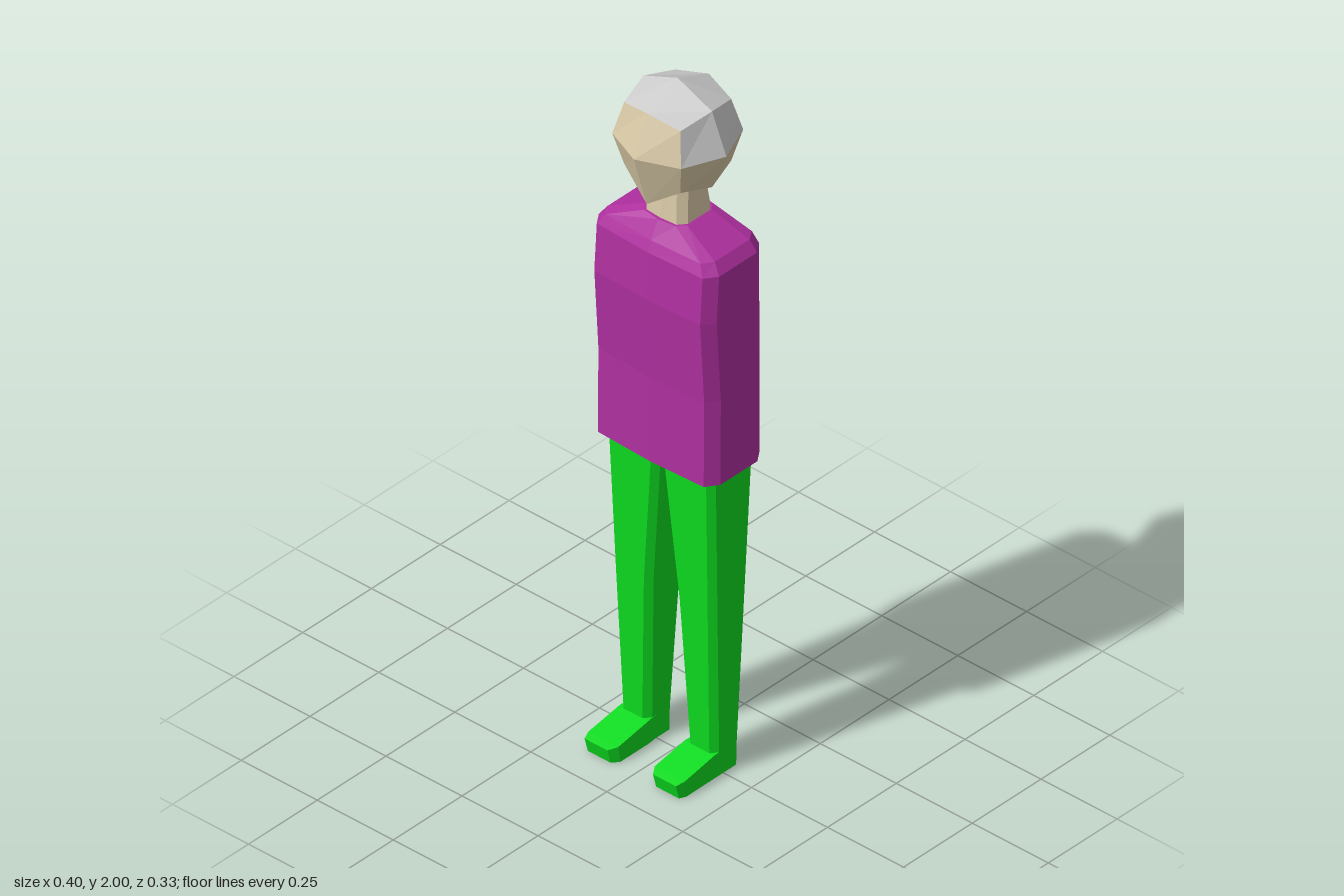
import * as THREE from 'three';

const SKIN = 0xd8c8a6, HAIR = 0xc4c4c4, SHIRT = 0xb030a0, GREEN = 0x0cdc20;

function flatMesh(name, triangles, color) {
  const geo = new THREE.BufferGeometry().setFromPoints(triangles);
  geo.computeVertexNormals();
  const mat = new THREE.MeshStandardMaterial({ color, flatShading: true });
  const mesh = new THREE.Mesh(geo, mat);
  mesh.name = name;
  return mesh;
}

// Skin a stack of equal-length rings and cap both ends.
function loft(name, rings, color) {
  const tris = [], n = rings[0].length;
  const centre = (r) => r.reduce((s, p) => s.add(p), new THREE.Vector3()).divideScalar(n);
  const first = rings[0], last = rings[rings.length - 1];
  const c0 = centre(first), c1 = centre(last);
  for (let i = 0; i < n; i++) {
    const j = (i + 1) % n;
    for (let k = 0; k + 1 < rings.length; k++) {
      const a = rings[k], b = rings[k + 1];
      tris.push(a[i], a[j], b[j], a[i], b[j], b[i]);
    }
    tris.push(c0, first[j], first[i], c1, last[i], last[j]);
  }
  return flatMesh(name, tris, color);
}

// Horizontal rectangle with bevelled corners and slightly bowed front and back.
function bevelRing(y, x0, x1, back, front, bx, bz, bow = 0) {
  const m = (x0 + x1) / 2;
  return [
    [m, front], [x1 - bx, front - bow], [x1, front - bow - bz],
    [x1, back + bow + bz], [x1 - bx, back + bow], [m, back],
    [x0 + bx, back + bow], [x0, back + bow + bz],
    [x0, front - bow - bz], [x0 + bx, front - bow],
  ].map(([x, z]) => new THREE.Vector3(x, y, z));
}

// Head: a cube with 2 x 2 quads per side pushed out to a sphere, chin lowered.
function makeHead() {
  const head = new THREE.Group();
  head.name = 'head';
  const pos = new THREE.BoxGeometry(2, 2, 2, 2, 2, 2).toNonIndexed().getAttribute('position');
  const skin = [], hair = [];
  for (let i = 0; i < pos.count; i += 3) {
    const raw = [0, 1, 2].map((k) => new THREE.Vector3().fromBufferAttribute(pos, i + k));
    const mid = raw[0].clone().add(raw[1]).add(raw[2]).divideScalar(3);
    const isFront = raw.every((p) => p.z > 0.99);
    const tri = raw.map((p) => {
      const q = p.clone().normalize().multiplyScalar(0.16);
      if (p.y < -0.5 && Math.abs(p.x) < 0.5) {
        if (p.z > 0.5) q.y = -0.158;
        else if (p.z > -0.5) q.y = -0.142;
      }
      return q.add(new THREE.Vector3(0, 1.84, -0.008));
    });
    (mid.y < 0 || isFront ? skin : hair).push(...tri);
  }
  head.add(flatMesh('face', skin, SKIN), flatMesh('hair', hair, HAIR));
  return head;
}

// One leg with its foot; side is +1 for left, -1 for right.
function makeLeg(side) {
  const group = new THREE.Group();
  group.name = side > 0 ? 'leftLeg' : 'rightLeg';
  const mirror = (ring) => {
    if (side > 0) return ring;
    ring.forEach((p) => { p.x *= -1; });
    return ring.reverse();
  };
  const legRings = [
    // y, inner x, outer x, back, front
    [0, 0.063, 0.157, -0.065, 0.035],
    [0.07, 0.063, 0.157, -0.067, 0.033],
    [0.5, 0.043, 0.167, -0.083, 0.05],
    [0.93, 0.003, 0.176, -0.1, 0.066],
  ].map(([y, a, b, back, front]) => mirror(bevelRing(y, a, b, back, front, 0.016, 0.018)));

  const footRings = [
    // inner x, outer x, top y, bottom z, top z
    [0.063, 0.157, 0.07, 0.0, 0.0],
    [0.06, 0.157, 0.068, 0.033, 0.033],
    [0.06, 0.158, 0.048, 0.135, 0.142],
    [0.075, 0.15, 0.043, 0.153, 0.165],
  ].map(([a, b, top, zb, zt]) => mirror([
    new THREE.Vector3(a, 0, zb), new THREE.Vector3(b, 0, zb),
    new THREE.Vector3(b, top, zt), new THREE.Vector3(a, top, zt),
  ]));

  group.add(loft('trouserLeg', legRings, GREEN), loft('foot', footRings, GREEN));
  return group;
}

export function createModel() {
  const model = new THREE.Group();
  model.name = 'figure';

  // Jumper, from hem to collar
  const torso = [
    // y, half width, back, front, bevel x, bevel z
    [0.91, 0.198, -0.12, 0.097, 0.024, 0.034],
    [1.16, 0.198, -0.12, 0.095, 0.024, 0.034],
    [1.4, 0.198, -0.119, 0.11, 0.024, 0.034],
    [1.535, 0.198, -0.118, 0.101, 0.024, 0.034],
    [1.565, 0.176, -0.112, 0.089, 0.02, 0.03],
    [1.615, 0.07, -0.084, 0.064, 0.018, 0.022],
  ].map(([y, w, back, front, bx, bz]) => bevelRing(y, -w, w, back, front, bx, bz, 0.007));
  model.add(loft('torso', torso, SHIRT));

  // Neck, running up into the head
  const neck = [
    [1.59, 0.07, -0.078, 0.058],
    [1.74, 0.057, -0.062, 0.042],
  ].map(([y, w, back, front]) => bevelRing(y, -w, w, back, front, 0.018, 0.022, 0.004));
  model.add(loft('neck', neck, SKIN));

  model.add(makeHead(), makeLeg(1), makeLeg(-1));
  return model;
}
